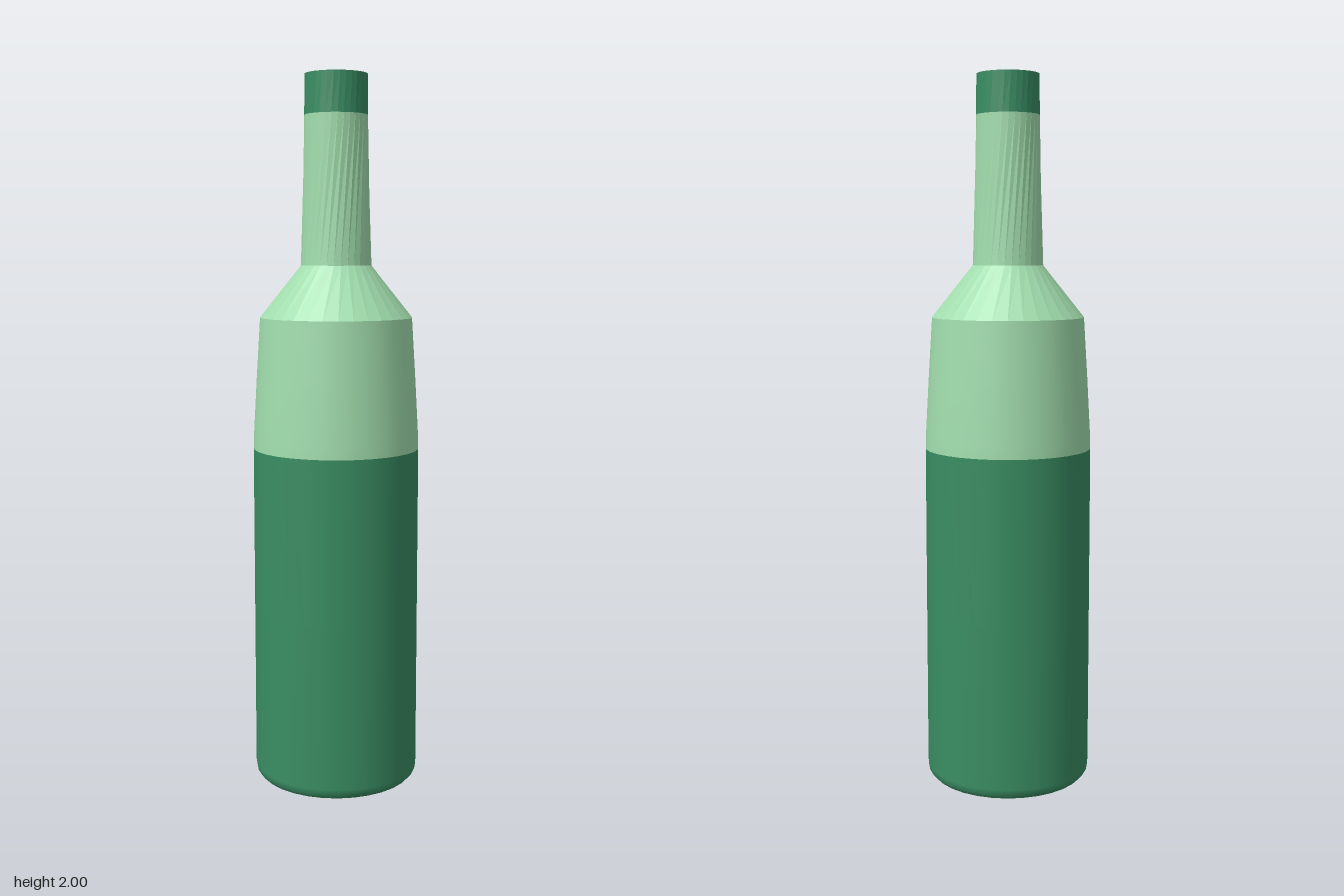
import * as THREE from 'three';

const SIDES = 32;
const DEG = Math.PI / 180;

function material(name, color) {
  const m = new THREE.MeshStandardMaterial({ color });
  m.name = name;
  return m;
}

// Faceted band between two rings; the upper ring is turned, which makes spiral ribs
function twistedBand(r0, y0, turn0, r1, y1, turn1) {
  const positions = [];
  const at = (r, y, turn, i) => {
    const t = (i / SIDES) * Math.PI * 2 + turn * DEG;
    return [r * Math.sin(t), y, r * Math.cos(t)];
  };
  for (let i = 0; i < SIDES; i++) {
    const a = at(r0, y0, turn0, i), b = at(r0, y0, turn0, i + 1);
    const c = at(r1, y1, turn1, i), d = at(r1, y1, turn1, i + 1);
    positions.push(...a, ...b, ...d, ...a, ...d, ...c);
  }
  const g = new THREE.BufferGeometry();
  g.setAttribute('position', new THREE.Float32BufferAttribute(positions, 3));
  g.computeVertexNormals();
  return g;
}

// Part of a disc cut off by a chord, from one angle to another
function discSegment(r, from, to, up) {
  const s = new THREE.Shape();
  s.absarc(0, 0, r, from * DEG, to * DEG, false);
  return new THREE.ShapeGeometry(s, 20).rotateX(up ? -Math.PI / 2 : Math.PI / 2);
}

function lathe(profile) {
  return new THREE.LatheGeometry(profile.map(([x, y]) => new THREE.Vector2(x, y)), SIDES);
}

export function createModel() {
  const model = new THREE.Group();
  model.name = 'bottle';
  const dark = material('darkGreen', 0x3a8e63);
  const light = material('lightGreen', 0xa2deae);

  const add = (name, geometry, mat, y = 0) => {
    const mesh = new THREE.Mesh(geometry, mat);
    mesh.name = name;
    mesh.position.y = y;
    model.add(mesh);
  };

  // Smooth body with a rounded foot
  add('lowerBody', lathe([[0.208, 0], [0.222, 0.006], [0.232, 0.018], [0.235, 0.035], [0.235, 0.5], [0.235, 0.965]]), dark);
  add('upperBody', lathe([[0.235, 0.965], [0.234, 1.0], [0.225, 1.16], [0.214, 1.335]]), light);

  // Ribbed shoulder, neck and lip
  add('shoulder', twistedBand(0.214, 1.335, 0, 0.099, 1.48, 6), light);
  add('neck', twistedBand(0.099, 1.48, 6, 0.088, 1.89, 24), light);
  add('lip', twistedBand(0.088, 1.89, 24, 0.087, 2, 28), dark);

  // Two-coloured end faces
  add('topLight', discSegment(0.087, 59, 227, true), light, 2);
  add('topDark', discSegment(0.087, 227, 419, true), dark, 2);
  add('bottomLight', discSegment(0.208, 266, 474, false), light);
  add('bottomDark', discSegment(0.208, 114, 266, false), dark);

  return model;
}
